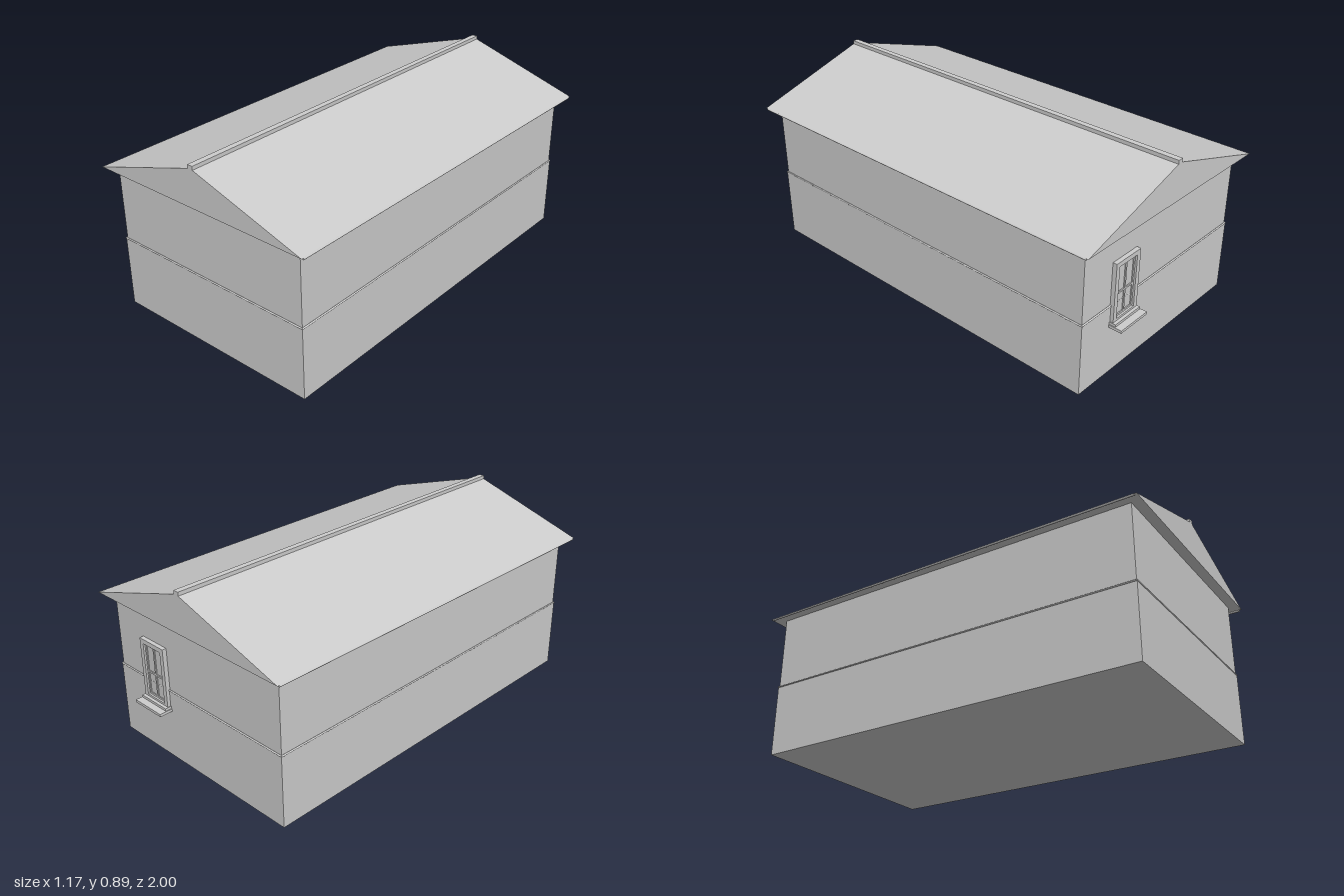
import * as THREE from 'three';

export function createModel() {
  const model = new THREE.Group();
  model.name = 'house';
  const grey = new THREE.MeshStandardMaterial({ color: 0xcccccc });
  grey.name = 'plain grey';

  const add = (name, geometry, parent = model) => {
    const mesh = new THREE.Mesh(geometry, grey);
    mesh.name = name;
    parent.add(mesh);
    return mesh;
  };
  // Box given by its minimum and maximum corners
  const box = (name, [x0, y0, z0], [x1, y1, z1], parent) => {
    const mesh = add(name, new THREE.BoxGeometry(x1 - x0, y1 - y0, z1 - z0), parent);
    mesh.position.set((x0 + x1) / 2, (y0 + y1) / 2, (z0 + z1) / 2);
    return mesh;
  };
  // Round rod running along x or z
  const rod = (name, axis, length, radius, x, y, z) => {
    const geometry = new THREE.CylinderGeometry(radius, radius, length, 12);
    if (axis === 'x') geometry.rotateZ(Math.PI / 2);
    else geometry.rotateX(Math.PI / 2);
    add(name, geometry).position.set(x, y, z);
  };

  // Walls: a slightly wider base course below the upper wall
  const baseX = 0.532, front = 0.957, back = -0.936, courseY = 0.343;
  box('baseWall', [-baseX, 0, back], [baseX, courseY, front]);
  box('upperWall', [-0.528, courseY, -0.932], [0.528, 0.7, 0.953]);

  // Rounded trim on top of the base course
  const midZ = (front + back) / 2, depth = front - back;
  for (const side of [-1, 1]) rod('sideTrim', 'z', depth, 0.004, side * 0.531, courseY, midZ);
  for (const z of [front - 0.001, back + 0.001]) rod('endTrim', 'x', baseX * 2, 0.004, 0, courseY, z);

  // Solid gabled roof
  const gable = new THREE.Shape([
    new THREE.Vector2(-0.58, 0.699),
    new THREE.Vector2(0.58, 0.699),
    new THREE.Vector2(0, 0.879),
  ]);
  const roof = new THREE.ExtrudeGeometry(gable, { depth: 1.985, bevelEnabled: false });
  roof.translate(0, 0, -0.985);
  add('roof', roof);
  box('ridgeCap', [-0.014, 0.872, -0.985], [0.014, 0.892, 1]);

  // Thin rounded edge under each eave
  for (const side of [-1, 1]) rod('eaveEdge', 'z', 1.965, 0.005, side * 0.578, 0.695, 0.0075);

  // Back window
  const win = new THREE.Group();
  win.name = 'backWindow';
  model.add(win);
  const x0 = 0.182, x1 = 0.344, y0 = 0.253, y1 = 0.548, cx = (x0 + x1) / 2;
  const w = 0.022, zWall = -0.93, zFrame = -0.952;
  box('glass', [x0 + w, y0 + w, -0.938], [x1 - w, y1 - w, zWall], win);
  box('frameLeft', [x1 - w, y0, zFrame], [x1, y1, zWall], win);
  box('frameRight', [x0, y0, zFrame], [x0 + w, y1, zWall], win);
  box('frameTop', [x0 + w, y1 - w, zFrame], [x1 - w, y1, zWall], win);
  box('frameBottom', [x0 + w, y0, zFrame], [x1 - w, y0 + w, zWall], win);

  // Casement sash, mullion and transom
  const s = 0.009, zSash = -0.943;
  for (const x of [x0 + w, x1 - w - s, cx - s / 2]) {
    box('sashUpright', [x, y0 + w, zSash], [x + s, y1 - w, zWall], win);
  }
  for (const y of [y0 + w, y1 - w - s, 0.385]) {
    box('sashRail', [x0 + w, y, zSash], [x1 - w, y + s, zWall], win);
  }

  // Stepped sill
  box('sillStep', [0.178, 0.25, -0.967], [0.348, 0.265, zWall], win);
  box('sill', [0.174, 0.24, -1], [0.352, 0.253, zWall], win);

  return model;
}
